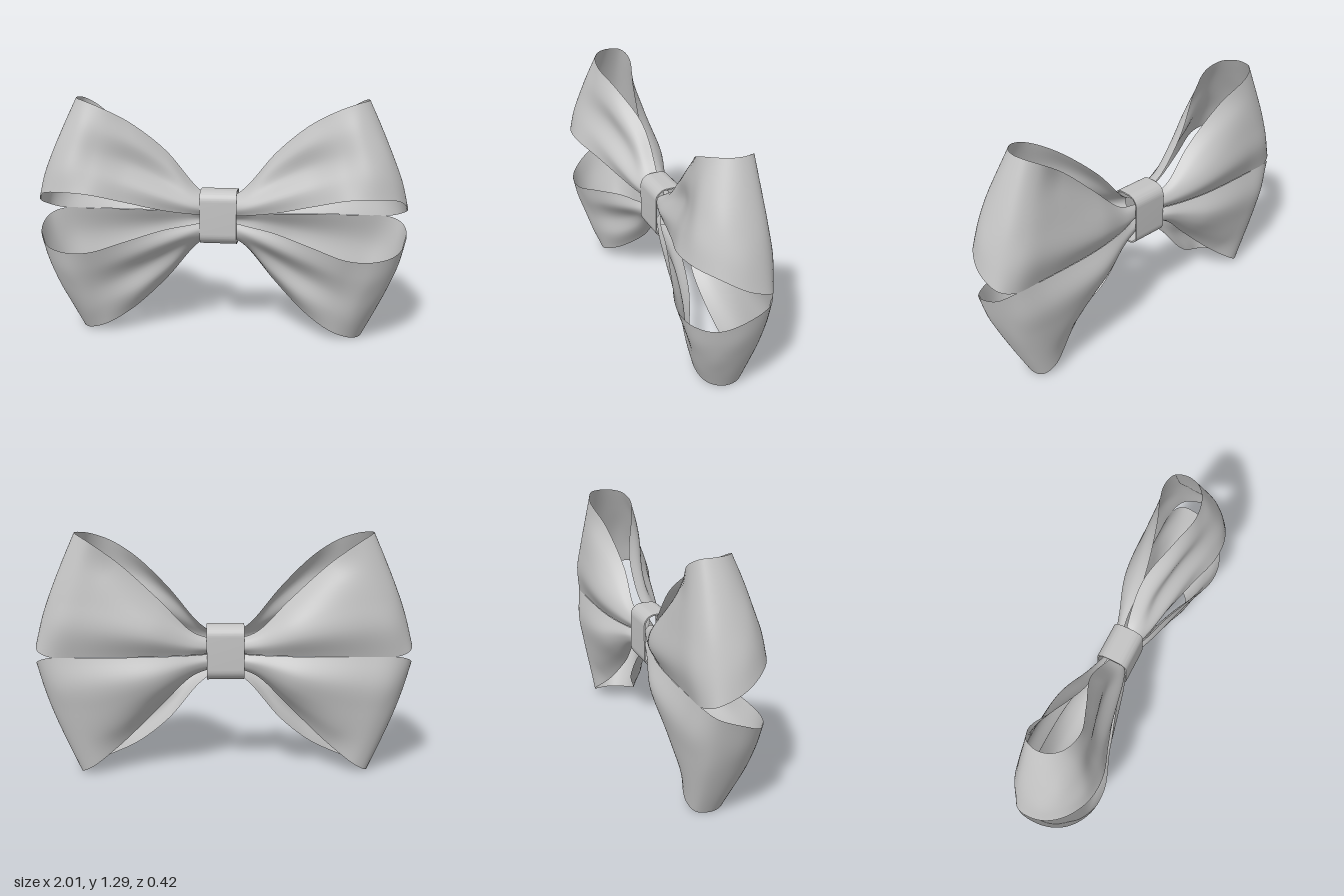
import * as THREE from 'three';
import { toCreasedNormals } from 'three/addons/utils/BufferGeometryUtils.js';

const MID = 0.646; // height of the line the upper and lower loops mirror about

// Lengthwise rails of one ribbon loop: front at the knot, round the end, back to the knot
const innerRail = [
  [0.04, 0.66, -0.01], [0.15, 0.675, 0.035], [0.3, 0.7, 0.075], [0.5, 0.755, 0.14], [0.68, 0.803, 0.2], [0.82, 0.81, 0.19],
  [0.94, 0.79, 0.115], [1.0, 0.73, 0.0], [0.99, 0.675, -0.13], [0.92, 0.648, -0.172], [0.75, 0.647, -0.178],
  [0.4, 0.647, -0.168], [0.18, 0.647, -0.125], [0.04, 0.647, -0.07]];
const ridgeRail = [
  [0.04, 0.69, 0.01], [0.15, 0.72, 0.05], [0.3, 0.775, 0.085], [0.5, 0.85, 0.125], [0.66, 0.9, 0.165], [0.8, 0.925, 0.17],
  [0.91, 0.91, 0.1], [0.965, 0.87, 0.0], [0.95, 0.83, -0.125], [0.88, 0.805, -0.19], [0.72, 0.79, -0.212],
  [0.4, 0.745, -0.212], [0.18, 0.69, -0.145], [0.04, 0.67, -0.1]];
const valleyRail = [
  [0.04, 0.72, 0.01], [0.15, 0.765, 0.025], [0.3, 0.855, 0.025], [0.47, 0.945, 0.06], [0.64, 1.01, 0.12], [0.76, 1.04, 0.138],
  [0.87, 1.03, 0.08], [0.915, 1.0, -0.02], [0.9, 0.97, -0.13], [0.83, 0.945, -0.182], [0.68, 0.92, -0.2],
  [0.38, 0.82, -0.195], [0.18, 0.72, -0.14], [0.04, 0.69, -0.1]];
const bulgeRail = [
  [0.04, 0.735, -0.01], [0.145, 0.795, -0.01], [0.28, 0.93, 0.005], [0.45, 1.05, 0.06], [0.62, 1.125, 0.1], [0.73, 1.165, 0.1],
  [0.81, 1.165, 0.05], [0.85, 1.15, -0.03], [0.835, 1.13, -0.125], [0.77, 1.1, -0.168], [0.62, 1.045, -0.17],
  [0.36, 0.885, -0.145], [0.17, 0.745, -0.12], [0.04, 0.71, -0.09]];
const outerRail = [
  [0.04, 0.74, -0.04], [0.14, 0.815, -0.065], [0.3, 1.005, -0.06], [0.48, 1.165, 0.02], [0.62, 1.245, 0.07], [0.72, 1.28, 0.05],
  [0.77, 1.289, 0.0], [0.785, 1.29, -0.06], [0.765, 1.283, -0.125], [0.7, 1.245, -0.153], [0.55, 1.13, -0.11],
  [0.34, 0.93, -0.075], [0.17, 0.765, -0.085], [0.04, 0.72, -0.07]];

// Smooth sheet lofted across the rails, mirrored by the signs sx and sy
function loopGeometry(sx, sy) {
  const rails = [innerRail, ridgeRail, valleyRail, bulgeRail, outerRail].map((rail) =>
    new THREE.CatmullRomCurve3(rail.map(([x, y, z]) => new THREE.Vector3(sx * x, MID + sy * (y - MID), z))));
  const along = 96, across = 24, positions = [], index = [];
  for (let i = 0; i <= along; i++) {
    const section = new THREE.CatmullRomCurve3(rails.map((r) => r.getPoint(i / along)));
    for (let j = 0; j <= across; j++) positions.push(...section.getPoint(j / across).toArray());
  }
  for (let i = 0; i < along; i++) {
    for (let j = 0; j < across; j++) {
      const a = i * (across + 1) + j, b = a + across + 1;
      // keep the outside of the loop facing outward in every mirror
      if (sx * sy > 0) index.push(a, b, a + 1, b, b + 1, a + 1);
      else index.push(a, a + 1, b, b, a + 1, b + 1);
    }
  }
  const geometry = new THREE.BufferGeometry();
  geometry.setAttribute('position', new THREE.Float32BufferAttribute(positions, 3));
  geometry.setIndex(index);
  geometry.computeVertexNormals();
  return geometry;
}

// Rounded rectangle centred on the origin
function roundedRect(path, w, h, r) {
  const x = w / 2 - r, y = h / 2 - r;
  path.absarc(x, y, r, 0, Math.PI / 2);
  path.absarc(-x, y, r, Math.PI / 2, Math.PI);
  path.absarc(-x, -y, r, Math.PI, Math.PI * 1.5);
  path.absarc(x, -y, r, Math.PI * 1.5, Math.PI * 2);
  path.closePath();
  return path;
}

export function createModel() {
  const group = new THREE.Group();
  group.name = 'ribbonBow';
  const satin = new THREE.MeshStandardMaterial({ color: 0xc4c4c4, side: THREE.DoubleSide });
  satin.name = 'grey satin';

  // Four puffed ribbon loops
  for (const [side, sx] of [['left', 1], ['right', -1]]) {
    for (const [level, sy] of [['Upper', 1], ['Lower', -1]]) {
      const loop = new THREE.Mesh(loopGeometry(sx, sy), satin);
      loop.name = `${side}${level}Loop`;
      group.add(loop);
    }
  }

  // Band wrapped round the middle, open towards the loops
  const shape = roundedRect(new THREE.Shape(), 0.172, 0.296, 0.06);
  shape.holes.push(roundedRect(new THREE.Path(), 0.156, 0.28, 0.052));
  const band = new THREE.ExtrudeGeometry(shape, { depth: 0.2, bevelEnabled: false, curveSegments: 10 });
  band.translate(0, 0, -0.1).rotateY(Math.PI / 2);
  const knot = new THREE.Mesh(toCreasedNormals(band, 0.6), satin);
  knot.name = 'knotBand';
  knot.position.set(-0.005, 0.653, -0.045);
  group.add(knot);
  return group;
}
